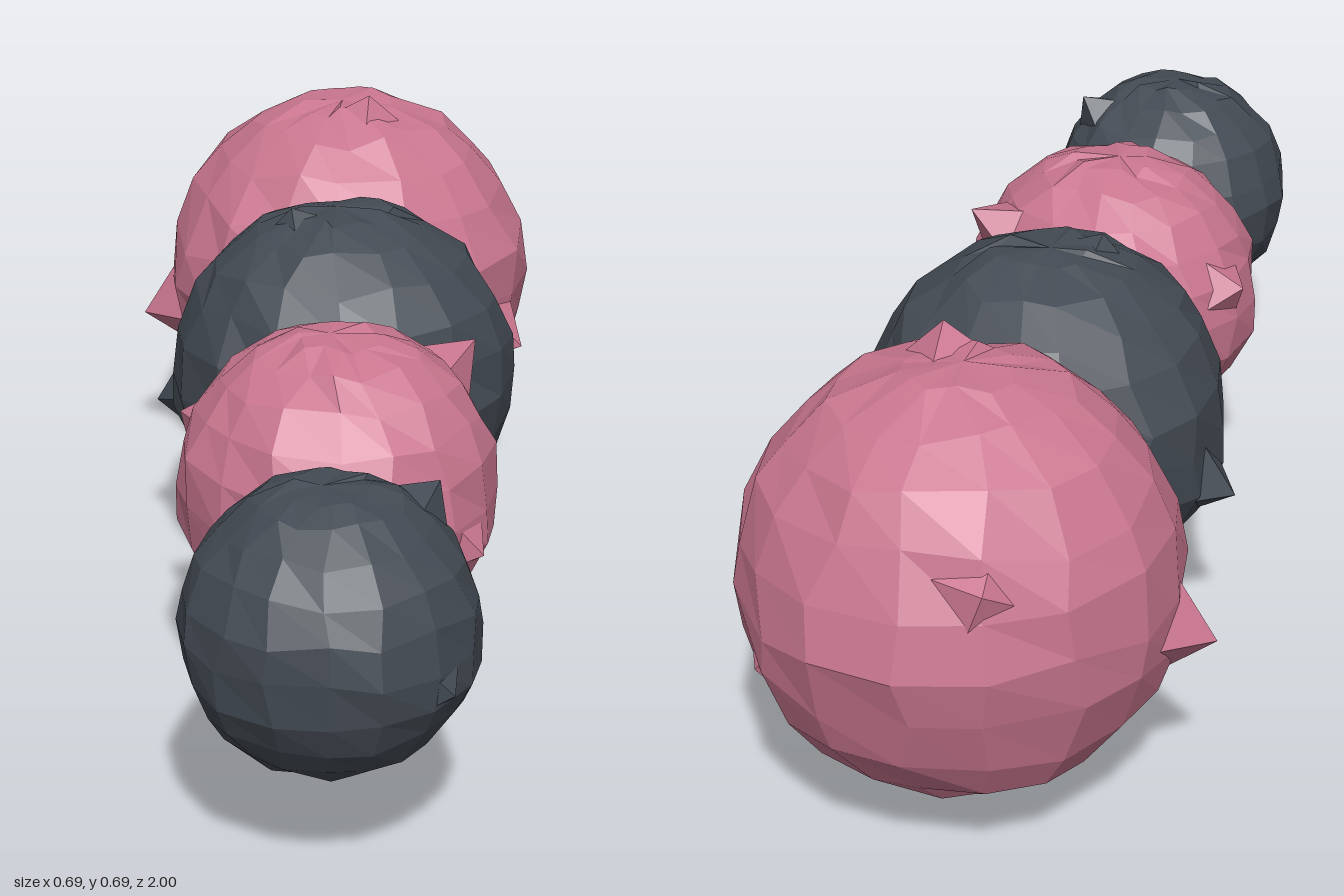
import * as THREE from 'three';
import { mergeVertices } from 'three/addons/utils/BufferGeometryUtils.js';

const CX = 0.022, CY = 0.35;

// small seeded random generator
function seeded(seed) {
  let s = seed;
  return () => (s = (s * 16807) % 2147483647) / 2147483647;
}

// faceted ball whose shared vertices are shifted slightly
function roughBall(radius, seed) {
  const rand = seeded(seed);
  let geo = new THREE.SphereGeometry(radius, 16, 12);
  geo.deleteAttribute('uv');
  geo.deleteAttribute('normal');
  geo = mergeVertices(geo, 1e-4);
  const pos = geo.attributes.position, v = new THREE.Vector3();
  for (let i = 0; i < pos.count; i++) {
    v.fromBufferAttribute(pos, i);
    const slide = new THREE.Vector3(rand() - 0.5, rand() - 0.5, rand() - 0.5);
    v.addScaledVector(slide, radius * 0.1).setLength(radius * (0.98 + rand() * 0.045));
    pos.setXYZ(i, v.x, v.y, v.z);
  }
  geo = geo.toNonIndexed();
  geo.computeVertexNormals();
  return geo;
}

// low shard rising out of the ball to a given tip
function shard(tip, center, radius, material, width = 0.3) {
  const dir = tip.clone().sub(center);
  const reach = dir.length(), base = radius * 0.88;
  const geo = new THREE.ConeGeometry(radius * width, reach - base, 4, 1, true);
  geo.translate(0, (reach + base) / 2, 0);
  const mesh = new THREE.Mesh(geo, material);
  mesh.quaternion.setFromUnitVectors(new THREE.Vector3(0, 1, 0), dir.normalize());
  mesh.name = 'shard';
  return mesh;
}

export function createModel() {
  const pink = new THREE.MeshStandardMaterial({ color: 0xc9768f, flatShading: true });
  pink.name = 'dusty pink';
  const slate = new THREE.MeshStandardMaterial({ color: 0x434a53, flatShading: true });
  slate.name = 'dark slate';

  // segments from front to back, with the tips of their larger shards
  const segments = [
    { name: 'headSegment', z: 0.785, y: 0.345, r: 0.21, mat: slate,
      tips: [[0.17, 0.53, 0.72], [0.03, 0.44, 0.56], [0.19, 0.31, 0.93], [0.06, 0.125, 0.77]] },
    { name: 'frontSegment', z: 0.31, y: CY, r: 0.243, mat: pink,
      tips: [[0.23, 0.53, 0.17], [0.06, 0.17, 0.07], [0.24, 0.3, 0.46], [-0.22, 0.42, 0.2]] },
    { name: 'middleSegment', z: -0.165, y: CY, r: 0.283, mat: slate,
      tips: [[-0.29, 0.27, -0.23], [0.26, 0.29, -0.37], [-0.06, 0.64, -0.13], [-0.02, 0.05, -0.18]] },
    { name: 'rearSegment', z: -0.675, y: CY, r: 0.322, mat: pink,
      tips: [[0.06, 0.695, -0.6], [0.056, 0, -0.7], [-0.345, 0.27, -0.66],
        [0.33, 0.28, -0.47], [0.26, 0.27, -0.88], [-0.09, 0.48, -0.97]] },
  ];

  const model = new THREE.Group();
  model.name = 'segmentedBody';
  segments.forEach((s, i) => {
    const part = new THREE.Group();
    part.name = s.name;
    const center = new THREE.Vector3(CX, s.y, s.z);
    part.position.copy(center);
    const ball = new THREE.Mesh(roughBall(s.r, 1171 + i * 7919), s.mat);
    ball.name = 'ball';
    part.add(ball);
    s.tips.forEach((t) => part.add(shard(new THREE.Vector3(...t), center, s.r, s.mat)));
    model.add(part);
  });
  return model;
}
